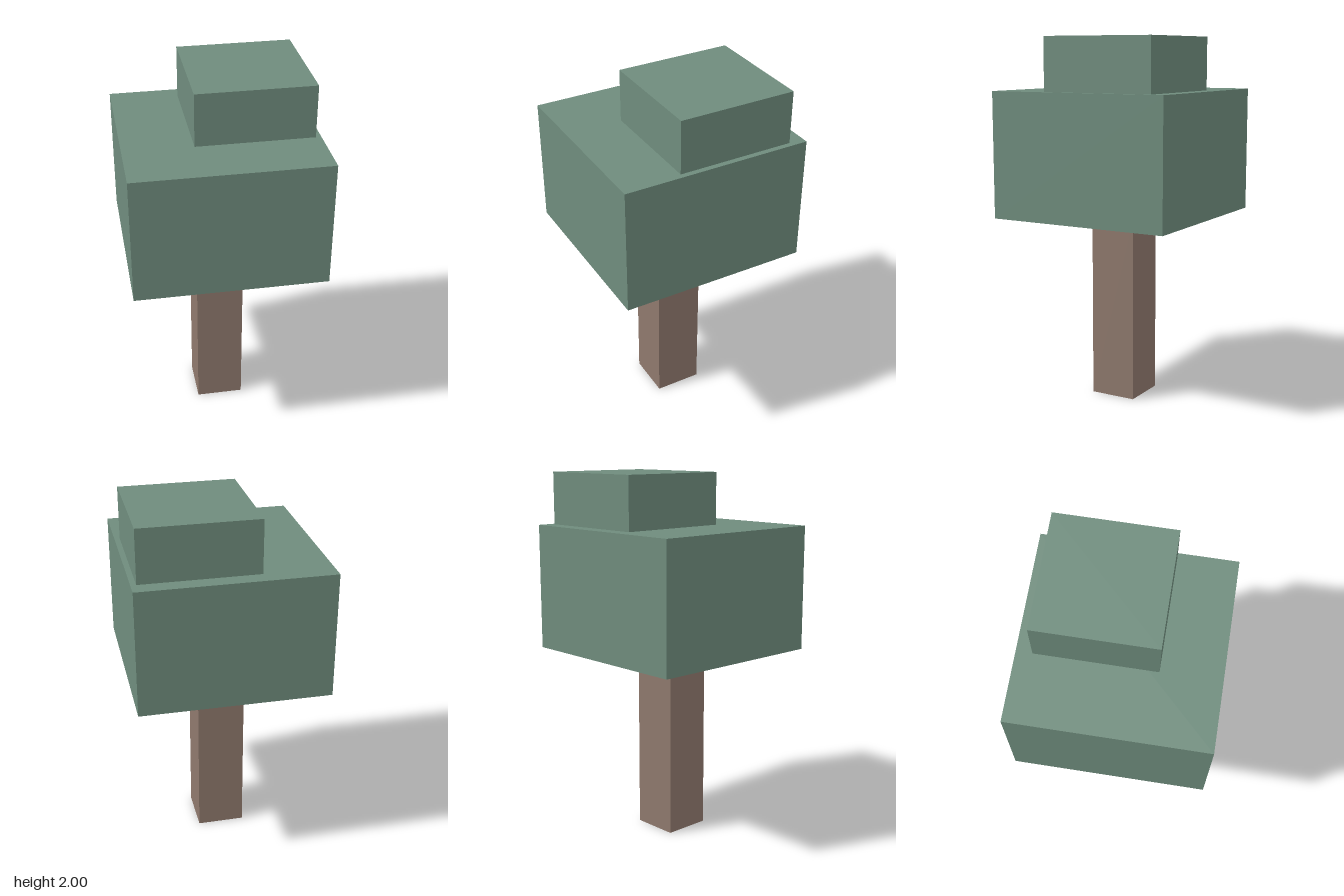
import * as THREE from 'three';

const leaf = new THREE.MeshStandardMaterial({ color: 0x6f8c7d });
leaf.name = 'leaf green';
const bark = new THREE.MeshStandardMaterial({ color: 0x8f796d });
bark.name = 'bark brown';

// Square block with its base at y0 and top at y1
function block(name, material, width, y0, y1, x = 0, z = 0) {
  const mesh = new THREE.Mesh(new THREE.BoxGeometry(width, y1 - y0, width), material);
  mesh.name = name;
  mesh.position.set(x, (y0 + y1) / 2, z);
  return mesh;
}

export function createModel() {
  const tree = new THREE.Group();
  tree.name = 'tree';
  tree.add(
    block('trunk', bark, 0.26, 0, 1.03),
    block('lowerCanopy', leaf, 1.026, 1.03, 1.715),
    // smaller canopy block, offset to the back left
    block('upperCanopy', leaf, 0.628, 1.715, 2, 0.17, -0.115),
  );
  return tree;
}
